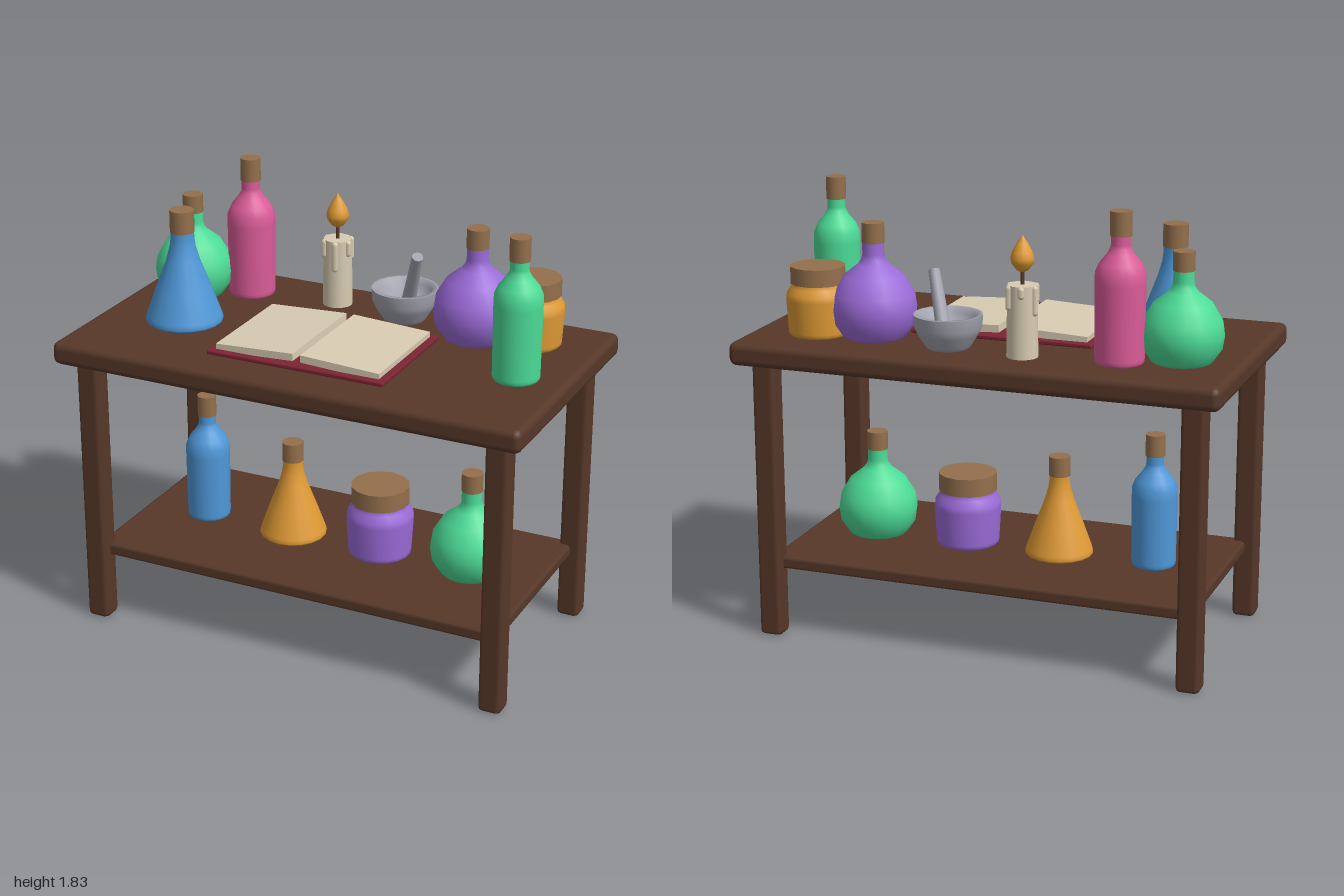
import * as THREE from 'three';
import { RoundedBoxGeometry } from 'three/addons/geometries/RoundedBoxGeometry.js';

const mat = (name, color) => {
  const m = new THREE.MeshStandardMaterial({ color });
  m.name = name;
  return m;
};

// Outer profiles [radius, height] for each vessel shape, with its stopper [radius, bottom, top]
const SHAPES = {
  bottle: {
    profile: [[0, 0], [0.088, 0], [0.093, 0.008], [0.094, 0.02], [0.096, 0.3], [0.095, 0.34], [0.08, 0.375],
      [0.052, 0.41], [0.039, 0.432], [0.037, 0.445], [0.037, 0.48]],
    stopper: [0.041, 0.478, 0.57],
  },
  roundFlask: {
    profile: [[0, 0], [0.115, 0], [0.123, 0.008], [0.155, 0.055], [0.163, 0.11], [0.155, 0.165], [0.115, 0.232],
      [0.06, 0.275], [0.045, 0.295], [0.041, 0.315], [0.041, 0.36]],
    stopper: [0.043, 0.358, 0.434],
  },
  coneFlask: {
    profile: [[0, 0], [0.135, 0], [0.14, 0.008], [0.136, 0.024], [0.1, 0.125], [0.06, 0.23], [0.046, 0.28],
      [0.042, 0.31], [0.042, 0.335]],
    stopper: [0.044, 0.333, 0.414],
  },
  jar: {
    profile: [[0, 0], [0.122, 0], [0.129, 0.008], [0.131, 0.02], [0.139, 0.16], [0.136, 0.185], [0.12, 0.21],
      [0.113, 0.225], [0.113, 0.24]],
    stopper: [0.121, 0.229, 0.304],
  },
};

const lathe = (pts, sides) => new THREE.LatheGeometry(pts.map(([r, y]) => new THREE.Vector2(r, y)), sides);

export function createModel() {
  const wood = mat('dark wood', 0x573829);
  const cork = mat('cork', 0x94704c);
  const green = mat('green glass', 0x4cdb96);
  const blue = mat('blue glass', 0x4f98d8);
  const purple = mat('purple glass', 0x9b6bd8);
  const pink = mat('pink glass', 0xdb5c98);
  const amber = mat('amber', 0xdf9a35);
  const cream = mat('cream', 0xd8ccb2);
  const red = mat('red leather', 0x7e2433);
  const stone = mat('grey stone', 0xa2a2ae);

  const root = new THREE.Group();
  root.name = 'potionTable';
  const add = (parent, name, geometry, material, x = 0, y = 0, z = 0) => {
    const m = new THREE.Mesh(geometry, material);
    m.name = name;
    m.position.set(x, y, z);
    parent.add(m);
    return m;
  };
  const group = (name, x, y, z) => {
    const g = new THREE.Group();
    g.name = name;
    g.position.set(x, y, z);
    root.add(g);
    return g;
  };

  // Table
  const TOP = 1.246, SHELF = 0.334;
  add(root, 'tableTop', new RoundedBoxGeometry(2, 0.096, 1.09, 2, 0.03), wood, 0, 1.198, 0);
  add(root, 'shelf', new RoundedBoxGeometry(1.77, 0.054, 0.866, 1, 0.015), wood, 0, 0.307, 0);
  for (const sx of [-1, 1]) for (const sz of [-1, 1]) {
    add(root, 'leg', new RoundedBoxGeometry(0.096, 1.155, 0.096, 1, 0.02), wood, sx * 0.883, 0.5775, sz * 0.432);
  }

  // Stoppered vessels
  const vessel = (shape, material, x, y, z, scale) => {
    const { profile, stopper: [r, y0, y1] } = SHAPES[shape];
    const g = group(shape, x, y, z);
    g.scale.setScalar(scale);
    add(g, 'glass', lathe(profile, 18), material);
    add(g, shape === 'jar' ? 'lid' : 'stopper', new THREE.CylinderGeometry(r, r, y1 - y0, 14), cork, 0, (y0 + y1) / 2, 0);
  };
  vessel('roundFlask', green, -0.762, TOP, -0.205, 0.99);
  vessel('bottle', pink, -0.543, TOP, -0.305, 1.03);
  vessel('coneFlask', blue, -0.643, TOP, 0.095, 1.135);
  vessel('roundFlask', purple, 0.496, TOP, -0.243, 1.06);
  vessel('jar', amber, 0.72, TOP, -0.283, 0.92);
  vessel('bottle', green, 0.796, TOP, 0.075, 1);
  vessel('bottle', blue, -0.604, SHELF, 0, 0.96);
  vessel('coneFlask', amber, -0.203, SHELF, 0, 1);
  vessel('jar', purple, 0.196, SHELF, 0, 1);
  vessel('roundFlask', green, 0.598, SHELF, 0, 1.01);

  // Candle with wax drips, wick and flame
  const candle = group('candle', -0.165, TOP, -0.345);
  add(candle, 'wax', new THREE.CylinderGeometry(0.058, 0.062, 0.284, 16), cream, 0, 0.142, 0);
  const drips = [0.13, 0.07, 0.1, 0.05, 0.12, 0.08];
  drips.forEach((len, i) => {
    const a = i * Math.PI / 3 + 0.25;
    add(candle, 'waxDrip', new THREE.CapsuleGeometry(0.014, len - 0.028, 4, 8), cream,
      Math.sin(a) * 0.057, 0.286 - len / 2, Math.cos(a) * 0.057);
  });
  add(candle, 'wick', new THREE.CylinderGeometry(0.008, 0.008, 0.07, 8), wood, 0, 0.31, 0);
  add(candle, 'flame', lathe([[0, 0.328], [0.025, 0.342], [0.043, 0.367], [0.047, 0.385], [0.04, 0.41],
    [0.022, 0.444], [0, 0.476]], 14), amber);

  // Mortar bowl and leaning pestle
  const mortar = group('mortarAndPestle', 0.155, TOP, -0.31);
  add(mortar, 'mortarOutside', lathe([[0, 0], [0.085, 0], [0.093, 0.012], [0.12, 0.055], [0.134, 0.085], [0.137, 0.134]], 20), stone);
  add(mortar, 'mortarInside', lathe([[0.137, 0.134], [0.118, 0.134], [0.11, 0.112], [0.085, 0.075], [0, 0.055]], 20), stone);
  const from = new THREE.Vector3(-0.005, 0.07, -0.055), to = new THREE.Vector3(0.076, 0.292, 0.05);
  const pestle = add(mortar, 'pestle', new THREE.CylinderGeometry(0.023, 0.03, from.distanceTo(to), 12), stone);
  pestle.position.copy(from).add(to).multiplyScalar(0.5);
  pestle.quaternion.setFromUnitVectors(new THREE.Vector3(0, 1, 0), to.clone().sub(from).normalize());

  // Open book: cover and two gently sloping page blocks
  const book = group('openBook', -0.003, TOP, 0.115);
  add(book, 'cover', new RoundedBoxGeometry(0.76, 0.018, 0.54, 1, 0.006), red, 0, 0.009, 0);
  for (const s of [-1, 1]) {
    const pages = add(book, 'pages', new THREE.BoxGeometry(0.336, 0.03, 0.48), cream, s * 0.184, 0.033, 0);
    pages.rotation.z = -s * 0.05;
  }
  return root;
}
